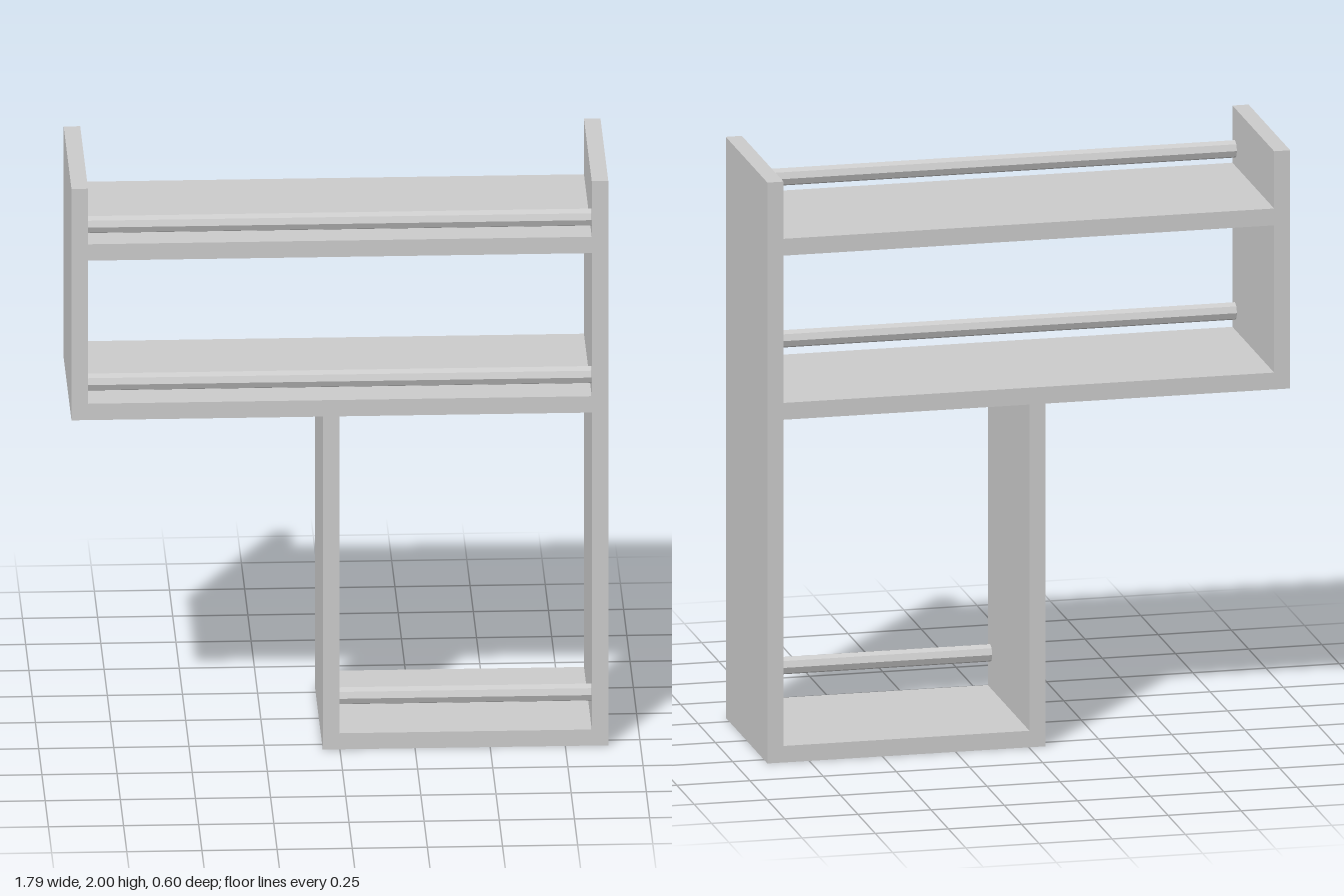
import * as THREE from 'three';

const DEPTH = 0.6;
const OUTER = 0.893;  // half width over the side panels
const INNER = 0.838;  // half width between the side panels

export function createModel() {
  const group = new THREE.Group();
  const material = new THREE.MeshStandardMaterial({ color: 0xcccccc, flatShading: true });

  // Full-depth board given by its front rectangle
  function board(name, x0, x1, y0, y1) {
    const mesh = new THREE.Mesh(new THREE.BoxGeometry(x1 - x0, y1 - y0, DEPTH), material);
    mesh.position.set((x0 + x1) / 2, (y0 + y1) / 2, 0);
    mesh.name = name;
    group.add(mesh);
  }

  // Eight-sided retaining rod along the front of a shelf
  function rail(name, x0, x1, y) {
    const geometry = new THREE.CylinderGeometry(0.03, 0.03, x1 - x0, 8).rotateZ(Math.PI / 2);
    const mesh = new THREE.Mesh(geometry, material);
    mesh.position.set((x0 + x1) / 2, y, 0.265);
    mesh.name = name;
    group.add(mesh);
  }

  // Uprights
  board('tallSidePanel', INNER, OUTER, 0, 2);
  board('shortSidePanel', -OUTER, -INNER, 1.18, 2);
  board('lowerSidePanel', -0.057, -0.002, 0, 1.18);

  // Shelves
  board('topShelf', -INNER, INNER, 1.745, 1.803);
  board('middleShelf', -INNER, INNER, 1.18, 1.238);
  board('bottomShelf', -0.002, INNER, 0, 0.057);

  // Rails
  rail('topRail', -INNER, INNER, 1.86);
  rail('middleRail', -INNER, INNER, 1.302);
  rail('bottomRail', -0.002, INNER, 0.177);

  return group;
}
